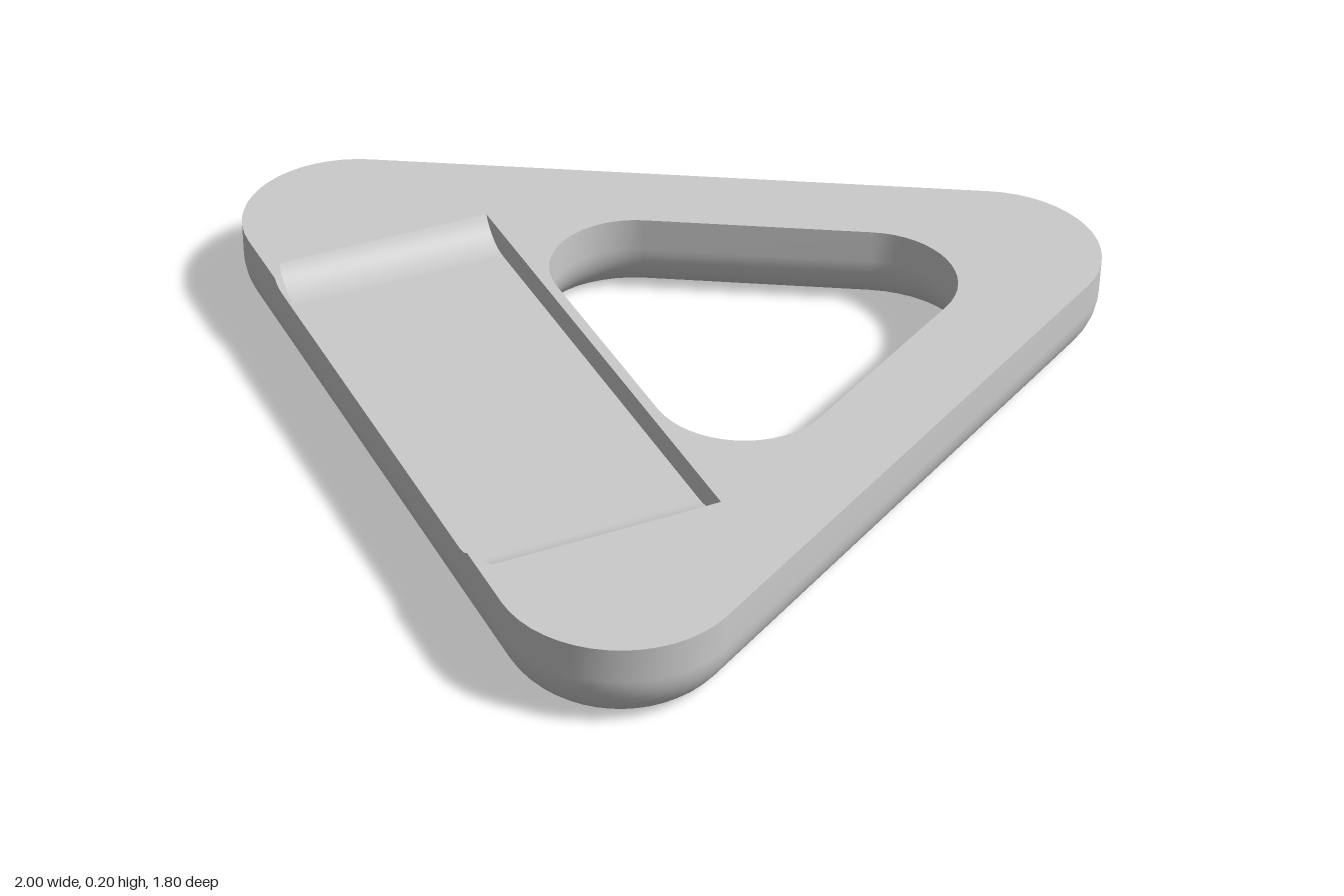
import * as THREE from 'three';

const TOP = 0.2;                       // plate thickness
const HALF = 0.74, CORNER = 0.26;      // outer corner centres and radius
const DEPTH = 0.641;                   // front and back corner centres
const C30 = Math.cos(Math.PI / 6);
const EDGE = HALF * C30 - DEPTH * 0.5 + CORNER; // distance of the left edge from the origin
const MID = -0.185;                    // pocket middle along the left edge
const D_IN = 0.033, D_OUT = 0.55;      // pocket sides, measured outward
const L_FLOOR = 0.62, L_RIM = 0.5635;  // pocket half lengths at the floor and the rim

const outerCorners = [[HALF, DEPTH], [-HALF, DEPTH], [0, -DEPTH]];
const holeCorners = [[0.475, 0.484], [-0.058, 0.484], [0.2085, 0.022]];
const footCentres = [[0.768, 0.66], [-0.765, 0.66], [0, -0.65]];

// Point from left-edge coordinates: s along the edge, d outward
function place(s, d, y) {
  const t = s + MID;
  return [0.5 * t - C30 * d, y, -C30 * t - 0.5 * d];
}

// Rounded triangle; extra points may be inserted on the left edge
function loop(corners, r, y, leftEdge = []) {
  const pts = [];
  const steps = 16;
  corners.forEach(([cx, cz], k) => {
    for (let i = 0; i <= steps; i++) {
      const a = (-30 + 120 * k + (120 * i) / steps) * Math.PI / 180;
      pts.push([cx + r * Math.cos(a), y, cz + r * Math.sin(a)]);
    }
    if (k === 1) pts.push(...leftEdge);
  });
  return pts;
}

// Pocket section: flat floor with concave fillets at both ends, as [s, y]
function pocketProfile(half, depth, r) {
  const a0 = Math.asin((r - depth) / r);
  const centre = half - r * Math.cos(a0);
  const end = [];
  for (let i = 0; i <= 8; i++) {
    const a = a0 + (Math.PI / 2 - a0) * i / 8;
    end.push([centre + r * Math.cos(a), TOP - depth + r - r * Math.sin(a)]);
  }
  return [...end, ...end.map(([s, y]) => [-s, y]).reverse()];
}

// Skin between rows of points with equal counts
function loft(rows, closed) {
  const n = rows[0].length, index = [];
  for (let j = 0; j < rows.length - 1; j++) {
    for (let i = 0; i < (closed ? n : n - 1); i++) {
      const k = (i + 1) % n;
      const a = j * n + i, b = j * n + k, c = b + n, d = a + n;
      index.push(a, d, b, b, d, c);
    }
  }
  const g = new THREE.BufferGeometry();
  g.setAttribute('position', new THREE.Float32BufferAttribute(rows.flat(2), 3));
  g.setIndex(index);
  g.computeVertexNormals();
  return g;
}

// Flat horizontal face with openings
function face(outline, holes, y, up) {
  const sign = up ? -1 : 1;
  const to2d = (pts) => pts.map(([x, , z]) => new THREE.Vector2(x, sign * z));
  const shape = new THREE.Shape(to2d(outline));
  shape.holes = holes.map((h) => new THREE.Path(to2d(h)));
  return new THREE.ShapeGeometry(shape).rotateX(sign * Math.PI / 2).translate(0, y, 0);
}

export function createModel() {
  const model = new THREE.Group();
  model.name = 'triangularPlate';
  const grey = new THREE.MeshStandardMaterial({ color: 0xcbcbcb });
  grey.name = 'grey';
  const inside = new THREE.MeshStandardMaterial({ color: 0xcbcbcb, side: THREE.BackSide });
  inside.name = 'grey inside';
  const add = (name, geometry, material = grey) => {
    const mesh = new THREE.Mesh(geometry, material);
    mesh.name = name;
    model.add(mesh);
    return mesh;
  };

  // Rounded lower edge shared by outer wall and opening: [inset, height]
  const rise = 0.12, inset0 = 0.063;
  const sweep = 2 * Math.atan(inset0 / rise), R = rise / Math.sin(sweep);
  const lowerEdge = [];
  for (let i = 0; i <= 8; i++) {
    const a = sweep * (1 - i / 8);
    lowerEdge.push([R * (1 - Math.cos(a)), rise - R * Math.sin(a)]);
  }

  // Pocket sections, the rim one being shallower and shorter
  const floorProfile = pocketProfile(L_FLOOR, 0.06, 0.11);
  const rimProfile = pocketProfile(L_RIM, 0.015, 0.065);
  const rim = [...rimProfile].reverse();

  // Outer wall, dipping at the pocket rim
  const wallRow = (inset, y, top) => loop(outerCorners, CORNER - inset, y,
    rim.map(([s, ry]) => place(s, EDGE - inset, top ? ry : y)));
  add('outerWall', loft([
    ...lowerEdge.map(([inset, y]) => wallRow(inset, y, false)),
    wallRow(0, TOP, true),
  ], true));

  // Wall of the central opening
  const holeRow = (inset, y) => loop(holeCorners, 0.2 + inset, y);
  add('openingWall', loft([
    holeRow(0, TOP),
    ...[...lowerEdge].reverse().map(([inset, y]) => holeRow(inset, y)),
  ], true));

  // Top face with the pocket notched out of its left side
  const notch = [[-L_RIM, EDGE], [-L_FLOOR, D_OUT], [-L_FLOOR, D_IN],
    [L_FLOOR, D_IN], [L_FLOOR, D_OUT], [L_RIM, EDGE]].map(([s, d]) => place(s, d, TOP));
  add('topFace', face(loop(outerCorners, CORNER, TOP, notch), [holeRow(0, TOP)], TOP, true));

  // Pocket: inner wall, floor and sloping outer lip
  const row = (profile, d) => profile.map(([s, y]) => place(s, d, y));
  add('pocketInnerWall', loft([
    floorProfile.map(([s]) => place(s, D_IN, TOP)), row(floorProfile, D_IN)], false));
  add('pocketFloor', loft([row(floorProfile, D_IN), row(floorProfile, D_OUT)], false));
  add('pocketLip', loft([row(floorProfile, D_OUT), row(rimProfile, EDGE)], false));

  // Blind round holes under the corners
  const holeR = 0.065, holeDepth = 0.05;
  const circles = footCentres.map(([cx, cz]) => Array.from({ length: 32 }, (_, i) => {
    const a = (i / 32) * Math.PI * 2;
    return [cx + holeR * Math.sin(a), 0, cz + holeR * Math.cos(a)];
  }));
  add('bottomFace', face(loop(outerCorners, CORNER - inset0, 0),
    [holeRow(inset0, 0), ...circles], 0, false));
  footCentres.forEach(([x, z]) => {
    add('footHoleWall', new THREE.CylinderGeometry(holeR, holeR, holeDepth, 32, 1, true), inside)
      .position.set(x, holeDepth / 2, z);
    add('footHoleEnd', new THREE.CircleGeometry(holeR, 32).rotateX(Math.PI / 2))
      .position.set(x, holeDepth, z);
  });

  return model;
}
